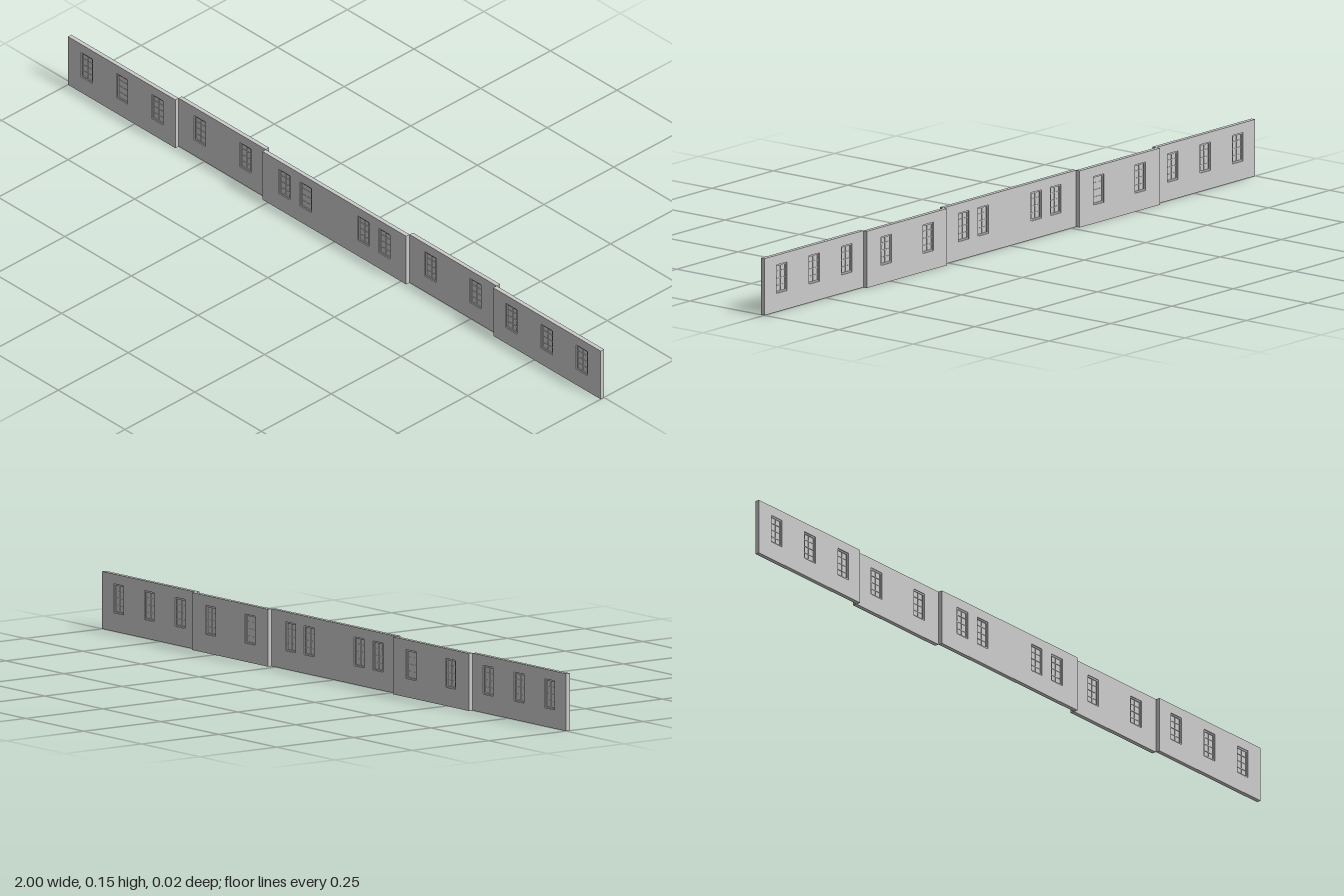
import * as THREE from 'three';

const H = 0.151, T = 0.012;                 // wall height and thickness
const WIN_W = 0.043, WIN_H = 0.076, WIN_Y = 0.049;

const material = new THREE.MeshStandardMaterial({ color: 0xcccccc, flatShading: true });

function box(name, w, h, d, x, y, z) {
  const mesh = new THREE.Mesh(new THREE.BoxGeometry(w, h, d), material);
  mesh.name = name;
  mesh.position.set(x, y, z);
  return mesh;
}

// Rectangle traced as a shape or hole outline
function rect(path, x0, y0, x1, y1) {
  path.moveTo(x0, y0);
  path.lineTo(x1, y0);
  path.lineTo(x1, y1);
  path.lineTo(x0, y1);
  path.closePath();
  return path;
}

// Recessed pane with a surrounding frame and glazing bars, seen from both sides
function makeWindow(x, z) {
  const group = new THREE.Group();
  group.name = 'window';
  group.position.set(x, WIN_Y + WIN_H / 2, z);
  const f = 0.004, d = 0.007, bar = 0.002;
  group.add(box('pane', WIN_W, WIN_H, 0.002, 0, 0, 0));
  for (const s of [-1, 1]) {
    group.add(box('frameSide', f, WIN_H, d, s * (WIN_W - f) / 2, 0, 0));
    group.add(box('frameRail', WIN_W - 2 * f, f, d, 0, s * (WIN_H - f) / 2, 0));
  }
  group.add(box('verticalBar', bar, WIN_H - 2 * f, 0.005, 0, 0, 0));
  for (const k of [-1, 0, 1]) {
    group.add(box('horizontalBar', WIN_W - 2 * f, bar, 0.0046, 0, k * WIN_H / 4, 0));
  }
  return group;
}

// Wall section with window openings cut through it
function makeSection(name, x0, x1, z0, windows) {
  const group = new THREE.Group();
  group.name = name;
  const shape = rect(new THREE.Shape(), x0, 0, x1, H);
  for (const x of windows) {
    shape.holes.push(rect(new THREE.Path(), x - WIN_W / 2, WIN_Y, x + WIN_W / 2, WIN_Y + WIN_H));
    group.add(makeWindow(x, z0 + T / 2));
  }
  const geometry = new THREE.ExtrudeGeometry(shape, { depth: T, bevelEnabled: false });
  geometry.translate(0, 0, z0);
  const wall = new THREE.Mesh(geometry, material);
  wall.name = 'wall';
  group.add(wall);
  return group;
}

export function createModel() {
  const model = new THREE.Group();
  model.name = 'facade';

  // Projecting centre section
  model.add(makeSection('centreSection', -0.27, 0.27, 0, [-0.188, -0.108, 0.108, 0.188]));

  // Set-back links and projecting end sections, mirrored
  for (const s of [-1, 1]) {
    const side = s > 0 ? 'left' : 'right';
    const span = (a, b) => (s > 0 ? [a, b] : [-b, -a]);
    model.add(makeSection(side + 'LinkSection', ...span(0.27, 0.597), -T, [0.347, 0.517].map(x => x * s)));
    model.add(makeSection(side + 'EndSection', ...span(0.597, 1), 0, [0.664, 0.797, 0.929].map(x => x * s)));
  }
  return model;
}
